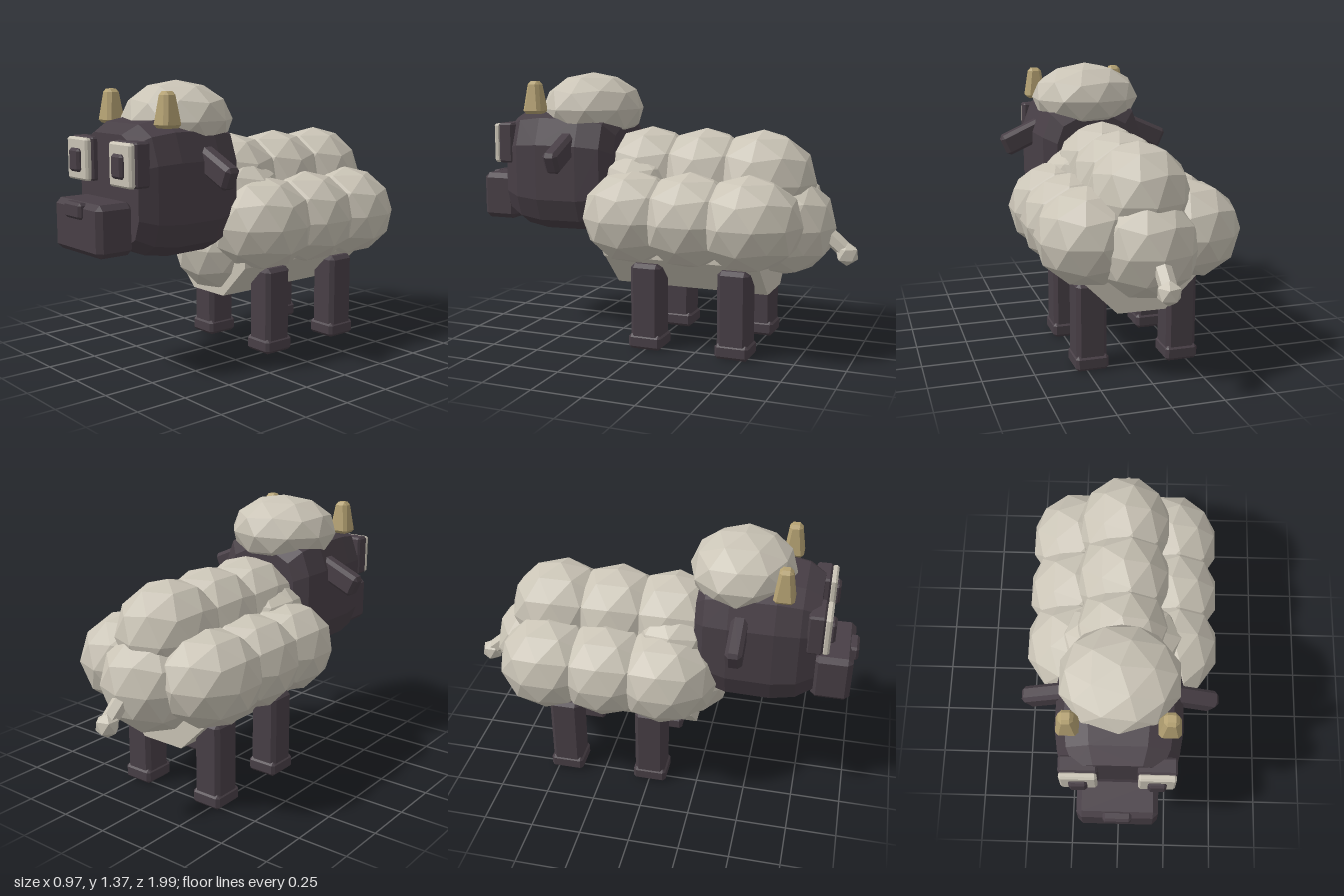
import * as THREE from 'three';
import { ConvexGeometry } from 'three/addons/geometries/ConvexGeometry.js';

const flat = (name, color) => {
  const m = new THREE.MeshStandardMaterial({ color, flatShading: true });
  m.name = name;
  return m;
};

// Box with chamfered edges; top faces can taper
function bevelBox(w, h, d, b, taper = 1) {
  const pts = [];
  for (const sx of [-1, 1]) for (const sy of [-1, 1]) for (const sz of [-1, 1]) {
    const t = sy > 0 ? taper : 1;
    const x = sx * w / 2 * t, y = sy * h / 2, z = sz * d / 2 * t;
    pts.push(
      new THREE.Vector3(x, y - sy * b, z - sz * b),
      new THREE.Vector3(x - sx * b, y, z - sz * b),
      new THREE.Vector3(x - sx * b, y - sy * b, z));
  }
  return new ConvexGeometry(pts);
}

// Faceted ball with a vertex at its pole
function puffGeometry(rx, ry, rz, detail = 1) {
  const g = new THREE.IcosahedronGeometry(1, detail);
  g.rotateX(-Math.atan2((1 + Math.sqrt(5)) / 2, 1));
  g.rotateY(Math.PI / 2);
  return g.scale(rx, ry, rz);
}

// Rounded block head made from scaled cross-sections along z
function headGeometry() {
  const profile = [[0.14, 0.32], [0.25, 0.265], [0.3, 0.13], [0.3, -0.15], [0.26, -0.26], [0.17, -0.315]];
  const sections = [[0.8, 0.8], [0.72, 0.94], [0.6, 1], [0.38, 0.99], [0.26, 0.9], [0.21, 0.68]];
  const pts = [];
  for (const [z, s] of sections)
    for (const [x, y] of profile)
      for (const side of [-1, 1]) pts.push(new THREE.Vector3(side * x * s, 0.88 + y * s, z));
  return new ConvexGeometry(pts);
}

export function createModel() {
  const wool = flat('wool', 0xcac4b6);
  const dark = flat('darkHide', 0x483f46);
  const horn = flat('horn', 0xb5a273);

  const model = new THREE.Group();
  const add = (name, geometry, material, x = 0, y = 0, z = 0) => {
    const mesh = new THREE.Mesh(geometry, material);
    mesh.name = name;
    mesh.position.set(x, y, z);
    model.add(mesh);
    return mesh;
  };

  // Belly core
  const belly = new THREE.CylinderGeometry(0.31, 0.31, 0.8, 8);
  belly.rotateY(Math.PI / 8).rotateX(Math.PI / 2);
  add('belly', belly, wool, 0, 0.585, -0.18);

  // Three rows of wool puffs
  for (const z of [0.075, -0.22, -0.515]) {
    add('backWool', puffGeometry(0.245, 0.255, 0.27), wool, 0, 0.845, z);
    for (const s of [-1, 1])
      add('sideWool', puffGeometry(0.25, 0.235, 0.265), wool, s * 0.245, 0.67, z);
  }
  add('neckWool', puffGeometry(0.33, 0.24, 0.24), wool, 0, 0.78, 0.1);
  add('chestWool', puffGeometry(0.24, 0.24, 0.24), wool, 0, 0.54, 0.14);
  add('rumpWool', puffGeometry(0.25, 0.25, 0.25), wool, 0, 0.635, -0.635);

  // Tail and its tuft
  const tail = add('tail', new THREE.CylinderGeometry(0.042, 0.04, 0.2, 6), wool, 0, 0.58, -0.87);
  tail.rotation.x = 0.85;
  add('tailTuft', puffGeometry(0.06, 0.06, 0.06, 0), wool, 0, 0.51, -0.94);

  // Legs and hooves
  for (const s of [-1, 1]) for (const z of [0.003, -0.45]) {
    add('leg', bevelBox(0.15, 0.41, 0.155, 0.02), dark, s * 0.225, 0.235, z);
    add('hoof', bevelBox(0.162, 0.075, 0.172, 0.015), dark, s * 0.225, 0.0425, z);
  }

  // Head, muzzle and nose
  add('head', headGeometry(), dark);
  add('muzzle', bevelBox(0.385, 0.24, 0.19, 0.025), dark, 0, 0.72, 0.885);
  add('nose', bevelBox(0.135, 0.075, 0.05, 0.012), dark, 0, 0.802, 0.975);
  add('headWool', puffGeometry(0.29, 0.185, 0.26), wool, 0, 1.187, 0.41);

  // Eyes, ears and horns, mirrored
  for (const s of [-1, 1]) {
    add('eyeSocket', bevelBox(0.18, 0.205, 0.08, 0.01), dark, s * 0.18, 1.012, 0.79);
    add('eye', bevelBox(0.172, 0.2, 0.035, 0.01), wool, s * 0.18, 1.01, 0.842);
    add('pupil', bevelBox(0.085, 0.11, 0.03, 0.012), dark, s * 0.18, 1.005, 0.865);
    const ear = add('ear', bevelBox(0.24, 0.115, 0.08, 0.018), dark, s * 0.34, 0.98, 0.435);
    ear.rotation.z = -s * 0.42;
    add('horn', bevelBox(0.105, 0.165, 0.1, 0.016, 0.65), horn, s * 0.23, 1.247, 0.63);
  }
  return model;
}
